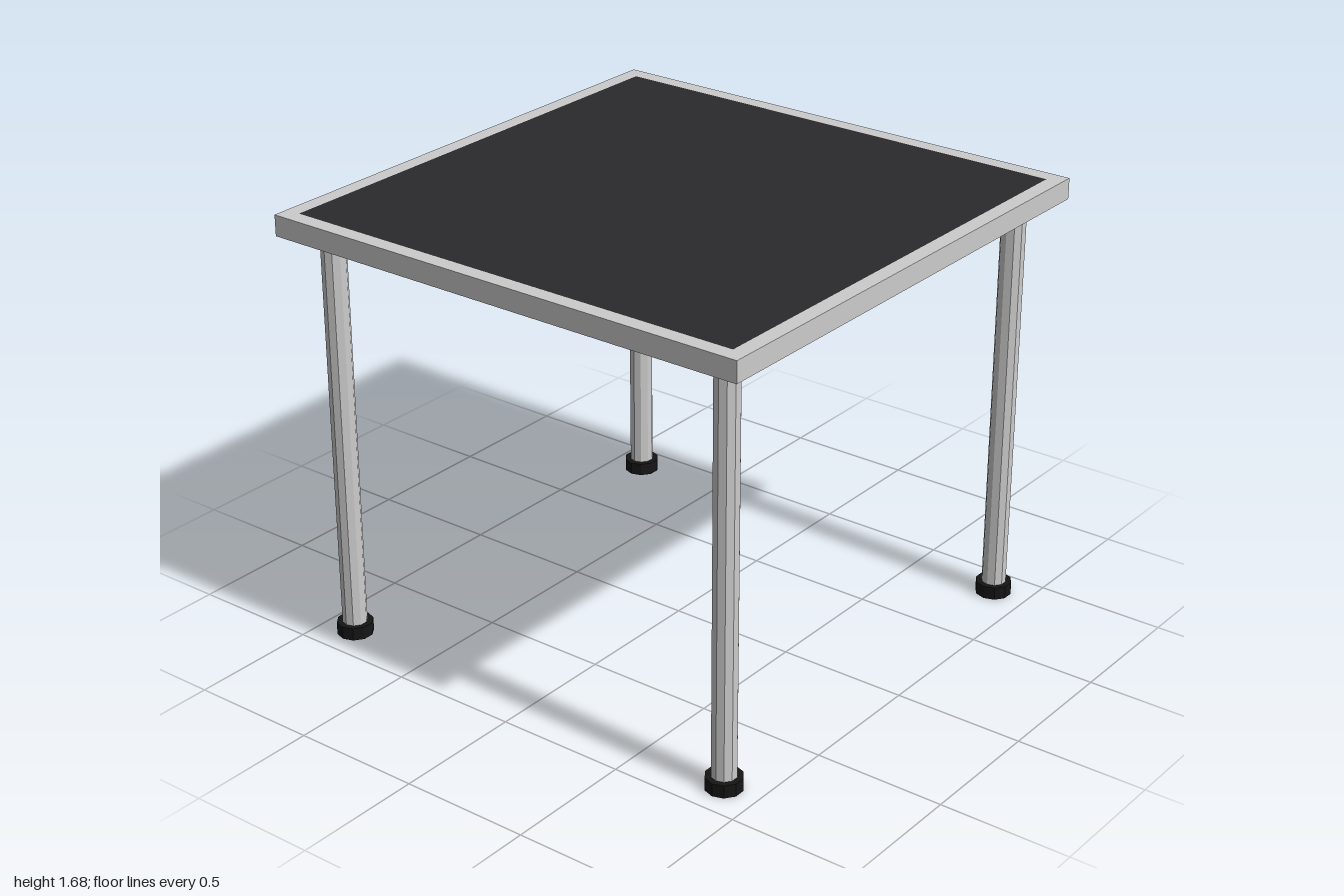
import * as THREE from 'three';

const HALF = 1, RIM = 0.06, TOP = 1.68, UNDER = 1.6;
const LEG_POS = 0.861, LEG_R = 0.047, FOOT_R = 0.069, FOOT_H = 0.05, SIDES = 10;

const grey = new THREE.MeshStandardMaterial({ color: 0xcccccc, flatShading: true });
const panelMat = new THREE.MeshStandardMaterial({ color: 0x2a2a2c });
const footMat = new THREE.MeshStandardMaterial({ color: 0x151515, flatShading: true });

function add(parent, name, geometry, material, x = 0, y = 0, z = 0) {
  const mesh = new THREE.Mesh(geometry, material);
  mesh.name = name;
  mesh.position.set(x, y, z);
  parent.add(mesh);
  return mesh;
}

// Square outline in the given winding
function square(Type, h) {
  const path = new Type();
  path.moveTo(-h, -h).lineTo(h, -h).lineTo(h, h).lineTo(-h, h).closePath();
  return path;
}

// Ten-sided upright post with corners on the x axis
function post(radius, height) {
  return new THREE.CylinderGeometry(radius, radius, height, SIDES).rotateY(Math.PI / 2);
}

export function createModel() {
  const table = new THREE.Group();
  table.name = 'table';

  // Square metal rim around the tabletop
  const outline = square(THREE.Shape, HALF);
  outline.holes.push(square(THREE.Path, HALF - RIM));
  const rim = new THREE.ExtrudeGeometry(outline, { depth: TOP - UNDER, bevelEnabled: false });
  rim.rotateX(-Math.PI / 2);
  add(table, 'tabletopRim', rim, grey, 0, UNDER, 0);

  // Dark panel set flush in the rim
  const width = 2 * (HALF - RIM);
  add(table, 'tabletopPanel', new THREE.BoxGeometry(width, TOP - UNDER, width), panelMat,
    0, (TOP + UNDER) / 2, 0);

  // Four legs, each on a wider foot
  const legHeight = UNDER - FOOT_H;
  const legGeo = post(LEG_R, legHeight);
  const footGeo = post(FOOT_R, FOOT_H);
  for (const [sx, xName] of [[1, 'Left'], [-1, 'Right']]) {
    for (const [sz, zName] of [[1, 'front'], [-1, 'back']]) {
      const leg = new THREE.Group();
      leg.name = `${zName}${xName}Leg`;
      leg.position.set(sx * LEG_POS, 0, sz * LEG_POS);
      add(leg, 'legPost', legGeo, grey, 0, FOOT_H + legHeight / 2, 0);
      add(leg, 'foot', footGeo, footMat, 0, FOOT_H / 2, 0);
      table.add(leg);
    }
  }
  return table;
}
